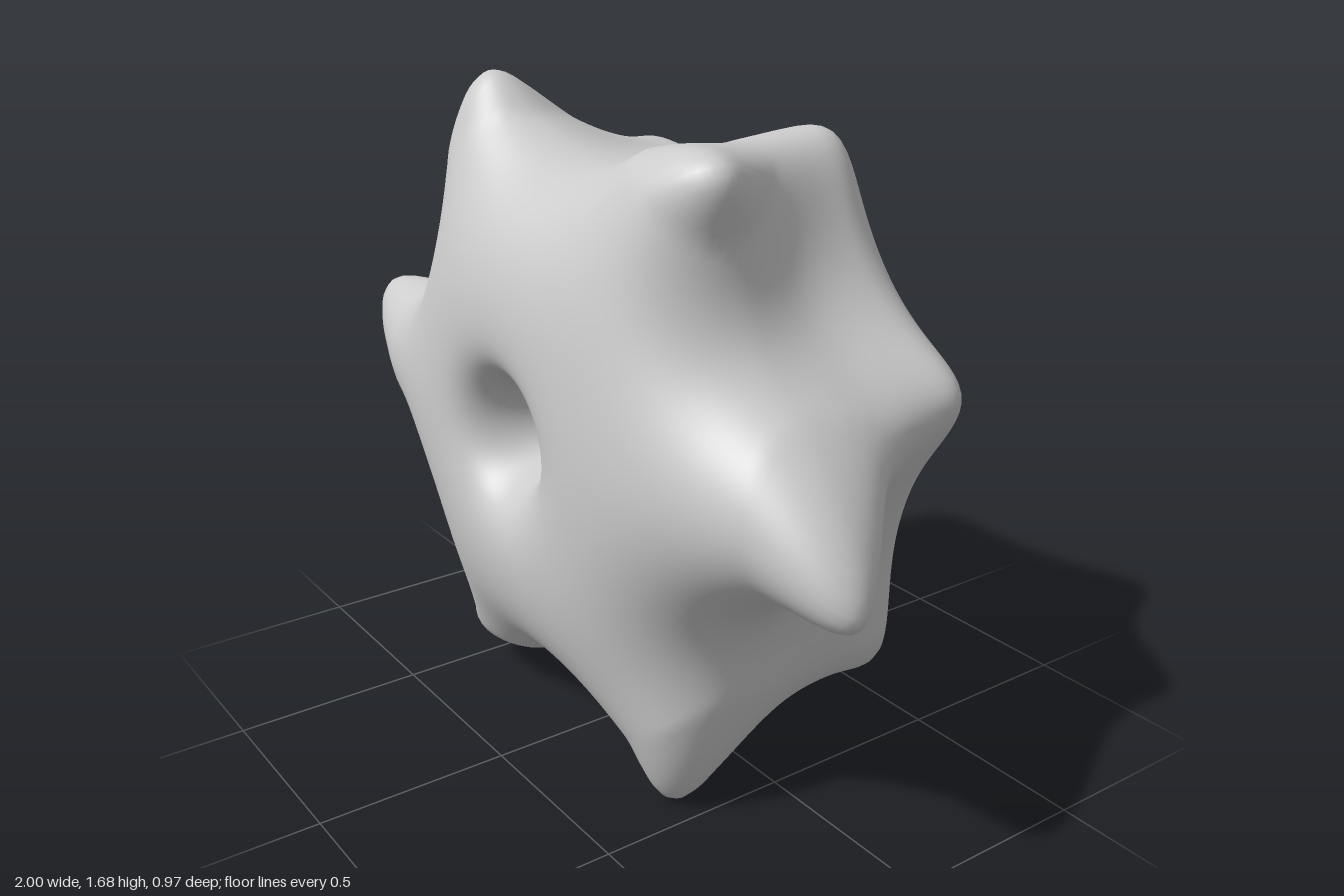
import * as THREE from 'three';
import { mergeVertices } from 'three/addons/utils/BufferGeometryUtils.js';

// Six ridges, each running from a back knob to a front spike:
// front angle, front radius, front z, back angle, back radius (degrees around z)
const RIDGES = [
  [-7, 1.0, 0.21, 13, 0.75], [53.5, 0.91, 0.23, 70, 0.755], [116, 0.905, 0.24, 131, 0.755],
  [173, 1.0, 0.25, 192, 0.755], [236, 0.915, 0.23, 251, 0.78], [296.5, 0.945, 0.24, 309, 0.79],
];
const BACK_Z = -0.305;

const lean = (rho) => 0.6 * Math.max(0, rho - 0.77);

// Rounded drum under the spikes
function baseRadius(d) {
  const rho = Math.hypot(d.x, d.y);
  return ((rho / 0.585) ** 3.3 + (Math.abs(d.z) / 0.492) ** 3.3) ** (-1 / 3.3);
}

function tip(deg, rho, z, twist) {
  const a = THREE.MathUtils.degToRad(deg) + twist;
  const p = new THREE.Vector3(rho * Math.cos(a), rho * Math.sin(a), z);
  const dir = p.clone().normalize();
  return { dir, lat: Math.asin(dir.z), height: p.length() - baseRadius(dir) };
}

// Soft flare with a rounded crest
const flare = (a, round) => Math.exp(-(Math.hypot(a, round) - round) / 0.185);

function bodyGeometry() {
  const ridges = RIDGES.map(([fa, fr, fz, ba, br]) => ({
    front: tip(fa, fr, fz, lean(fr)),
    back: tip(ba, br, BACK_Z, 0),
  }));

  let geo = new THREE.SphereGeometry(1, 216, 180);
  geo.rotateX(Math.PI / 2);
  geo.deleteAttribute('uv');
  geo.deleteAttribute('normal');
  geo = mergeVertices(geo, 1e-5);

  const pos = geo.attributes.position;
  const d = new THREE.Vector3(), crest = new THREE.Vector3();
  for (let i = 0; i < pos.count; i++) {
    d.fromBufferAttribute(pos, i).normalize();
    const lat = Math.asin(THREE.MathUtils.clamp(d.z, -1, 1));
    let r = baseRadius(d);
    for (const { front, back } of ridges) {
      // Each ridge sags and broadens between its two ends
      const u = THREE.MathUtils.clamp((lat - back.lat) / (front.lat - back.lat), 0, 1);
      const t = THREE.MathUtils.smoothstep(u, 0, 1);
      const middle = 4 * t * (1 - t);
      crest.lerpVectors(back.dir, front.dir, t).normalize();
      const height = THREE.MathUtils.lerp(back.height, front.height, t ** 3) * (1 - 0.13 * middle);
      r += height * flare(d.angleTo(crest), 0.13 + 0.1 * middle);
    }
    d.multiplyScalar(r);

    // Spikes lean clockwise towards their ends
    const rho = Math.hypot(d.x, d.y);
    const a = Math.atan2(d.y, d.x) - lean(rho);
    d.x = rho * Math.cos(a);
    d.y = rho * Math.sin(a);

    const q = Math.hypot(d.x + 0.015, d.y - 0.0);
    if (d.z > 0) {
      // Deep pit in the front with a small mound on its floor
      d.z -= 0.4 / (1 + (q / 0.11) ** 4);
      const m = Math.hypot(d.x - 0.025, d.y + 0.045);
      d.z += 0.1 * Math.exp(-((m / 0.08) ** 2));
    } else {
      // Shallow dip in the middle of the back
      d.z += 0.03 * Math.exp(-((q / 0.25) ** 2));
    }
    pos.setXYZ(i, d.x, d.y, d.z);
  }

  // Stand on the ground, centred
  geo.computeBoundingBox();
  const c = geo.boundingBox.getCenter(new THREE.Vector3());
  geo.translate(-c.x, -geo.boundingBox.min.y, -c.z);
  geo.computeVertexNormals();
  return geo;
}

export function createModel() {
  const group = new THREE.Group();
  const body = new THREE.Mesh(bodyGeometry(), new THREE.MeshStandardMaterial({ color: 0xcccccc }));
  body.name = 'spikyBody';
  group.add(body);
  return group;
}
